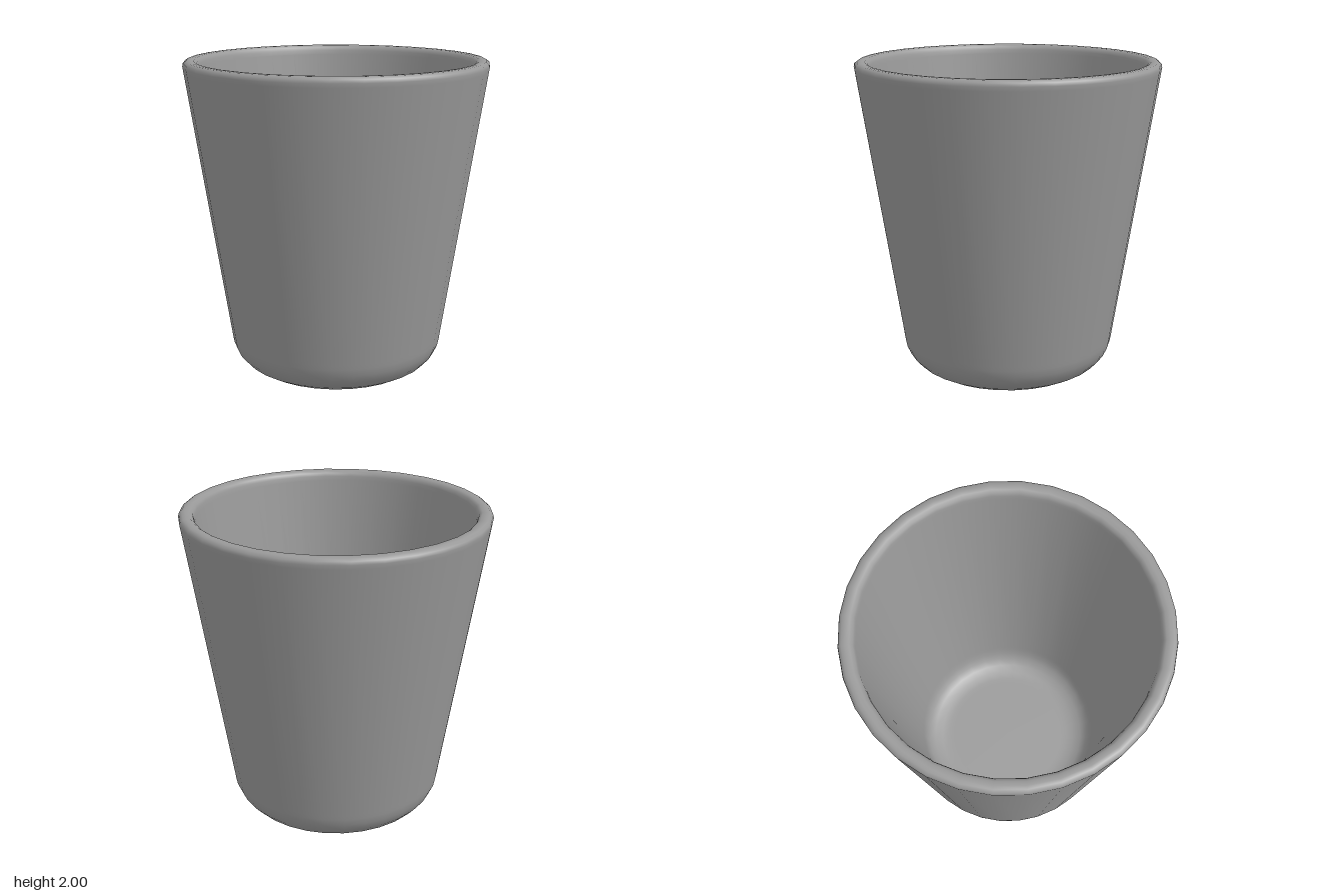
import * as THREE from 'three';

export function createModel() {
  const group = new THREE.Group();
  group.name = 'cup';
  const grey = new THREE.MeshStandardMaterial({ color: 0x999999 });
  grey.name = 'grey';

  // One closed profile: underside, outer wall, rounded rim, inner wall, floor.
  // Points close to each bend keep the long faces evenly smooth.
  const profile = [
    [0, 0], [0.37, 0], [0.41, 0],
    [0.475, 0.012], [0.54, 0.035], [0.6, 0.07], [0.645, 0.12], [0.67, 0.175],
    [0.679, 0.22], [0.683, 0.25],
    [0.938, 1.94], [0.942, 1.965],
    [0.938, 1.985], [0.92, 1.998], [0.9, 2], [0.875, 1.998], [0.857, 1.985],
    [0.85, 1.965], [0.846, 1.94],
    [0.597, 0.27], [0.592, 0.24],
    [0.582, 0.19], [0.56, 0.145], [0.52, 0.112], [0.47, 0.095],
    [0.42, 0.09], [0.38, 0.09], [0, 0.09],
  ].map(([r, y]) => new THREE.Vector2(r, y));

  const body = new THREE.Mesh(new THREE.LatheGeometry(profile, 32), grey);
  body.name = 'cupBody';
  group.add(body);
  return group;
}
